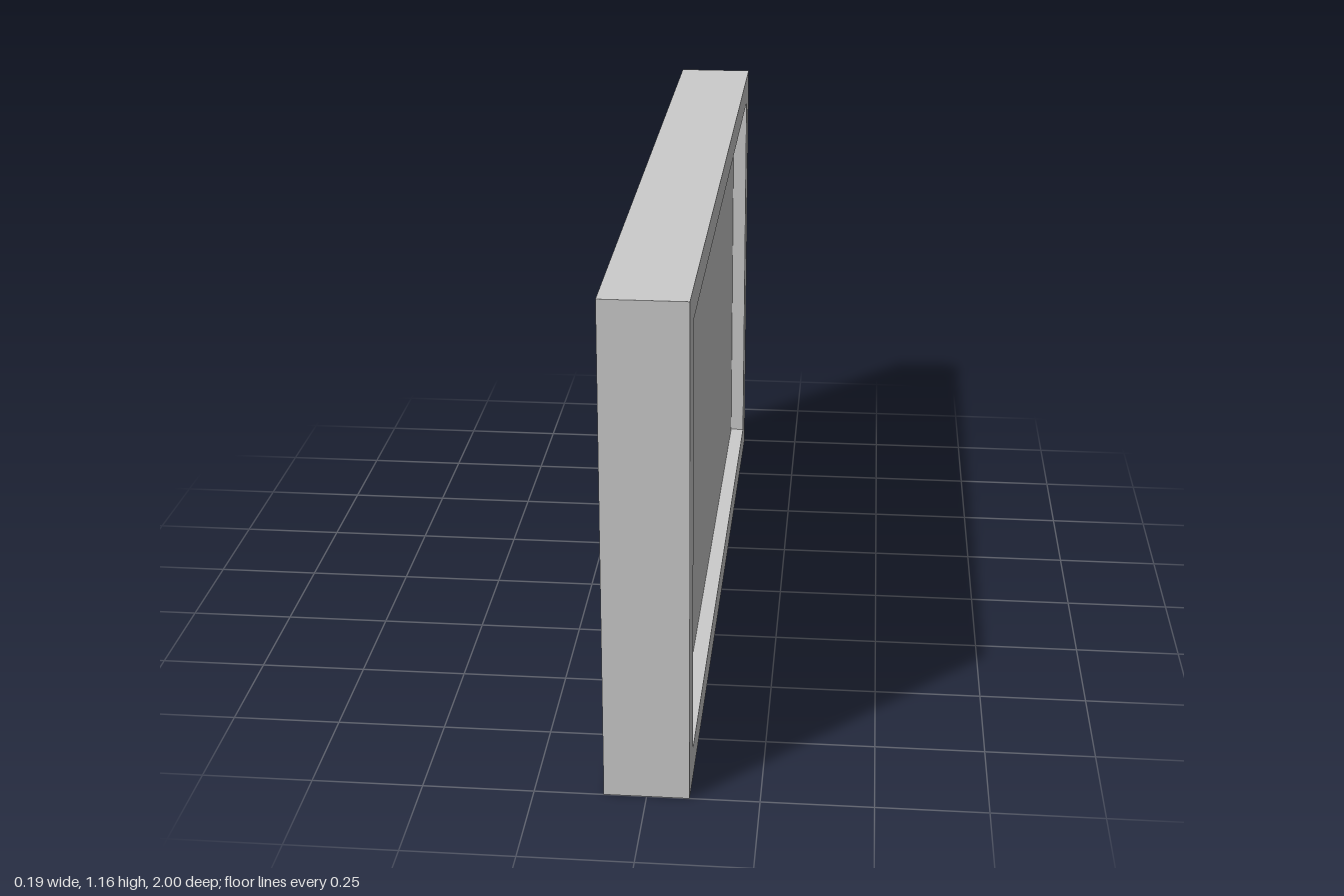
import * as THREE from 'three';

const HALF_DEPTH = 0.095, HEIGHT = 1.157, RECESS = 0.036;

// Rectangle in a plane of constant x, counter-clockwise seen from +x
const rect = (x, halfZ, y0, y1) => [
  [x, y0, halfZ], [x, y0, -halfZ], [x, y1, -halfZ], [x, y1, halfZ],
];

// Skin quads between successive loops and close both ends, with hard edges
function loftLoops(loops) {
  const pos = [];
  const quad = (a, b, c, d) => pos.push(...a, ...b, ...c, ...a, ...c, ...d);
  for (let k = 0; k < loops.length - 1; k++) {
    for (let i = 0; i < 4; i++) {
      const j = (i + 1) % 4;
      quad(loops[k][i], loops[k][j], loops[k + 1][j], loops[k + 1][i]);
    }
  }
  quad(...[...loops[0]].reverse());
  quad(...loops[loops.length - 1]);
  const geometry = new THREE.BufferGeometry();
  geometry.setAttribute('position', new THREE.Float32BufferAttribute(pos, 3));
  geometry.computeVertexNormals();
  return geometry;
}

export function createModel() {
  const group = new THREE.Group();
  group.name = 'recessedPanel';

  // Slab: flat back, outer walls, front rim, recess walls, recessed floor
  const slab = new THREE.Mesh(
    loftLoops([
      rect(-HALF_DEPTH, 1, 0, HEIGHT),
      rect(HALF_DEPTH, 1, 0, HEIGHT),
      rect(HALF_DEPTH, 0.912, 0.073, 1.086),
      rect(HALF_DEPTH - RECESS, 0.912, 0.073, 1.086),
    ]),
    new THREE.MeshStandardMaterial({ color: 0xcccccc, flatShading: true }),
  );
  slab.name = 'framedSlab';
  group.add(slab);
  return group;
}
